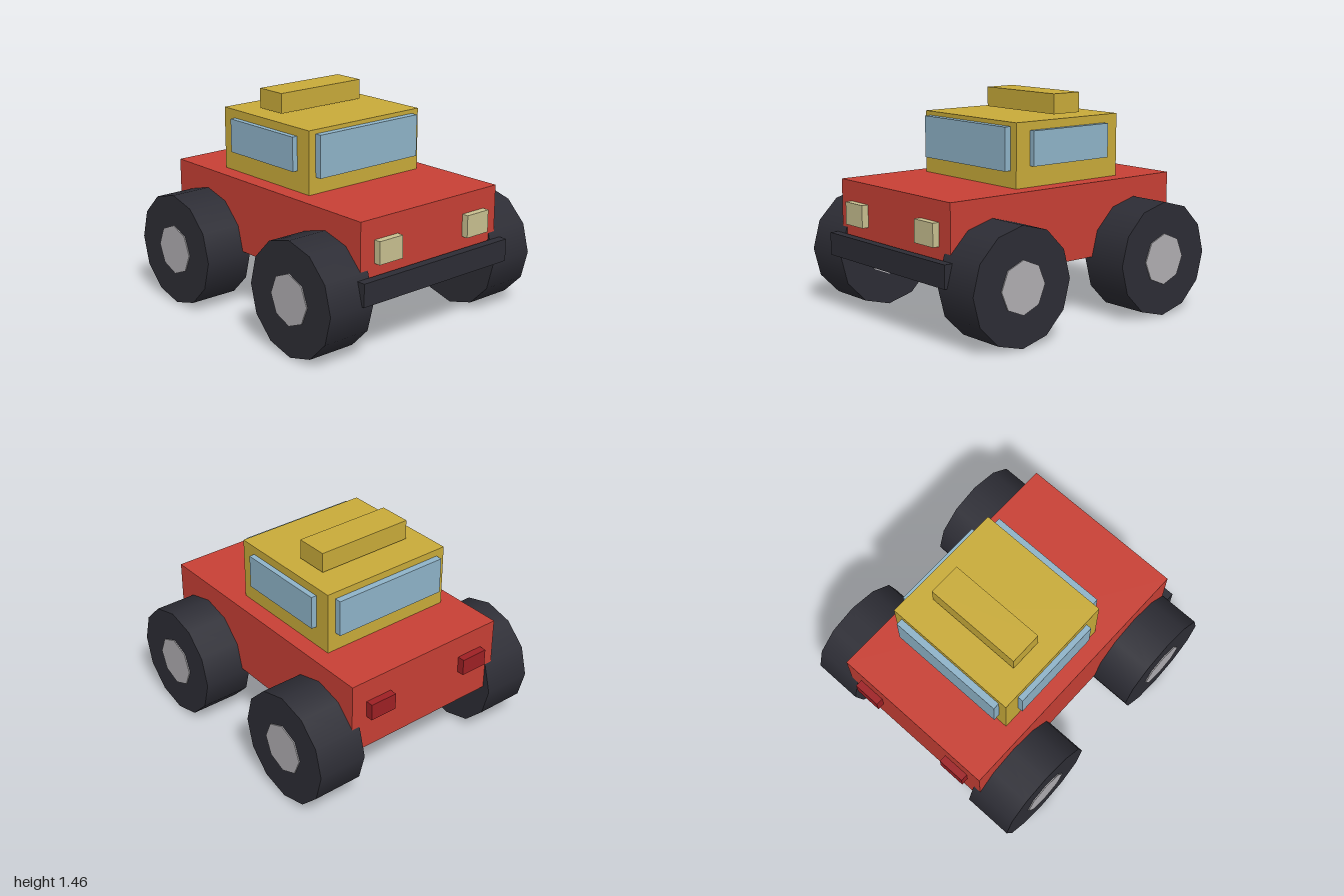
import * as THREE from 'three';

export function createModel() {
  const group = new THREE.Group();
  const mat = (name, color) => {
    const m = new THREE.MeshStandardMaterial({ color });
    m.name = name;
    return m;
  };
  const red = mat('body red', 0xc84035);
  const yellow = mat('cab yellow', 0xc9ab3a);
  const glass = mat('window blue', 0x8fb4c9);
  const cream = mat('headlight cream', 0xc9c090);
  const darkRed = mat('tail light red', 0x9e2024);
  const rubber = mat('rubber black', 0x2d2d35);
  const metal = mat('hub grey', 0xb0aeb2);

  // Box given by its extents on each axis
  const box = (name, material, [x0, x1], [y0, y1], [z0, z1]) => {
    const mesh = new THREE.Mesh(new THREE.BoxGeometry(x1 - x0, y1 - y0, z1 - z0), material);
    mesh.position.set((x0 + x1) / 2, (y0 + y1) / 2, (z0 + z1) / 2);
    mesh.name = name;
    group.add(mesh);
  };
  // The same box on the left (+x) and right (-x)
  const pair = (name, material, [x0, x1], y, z) => {
    box(name + 'Left', material, [x0, x1], y, z);
    box(name + 'Right', material, [-x1, -x0], y, z);
  };

  // Body, cab and roof bar
  box('body', red, [-0.59, 0.59], [0.4, 0.895], [-0.94, 0.925]);
  box('cab', yellow, [-0.475, 0.475], [0.895, 1.315], [-0.56, 0.315]);
  box('roofBar', yellow, [-0.342, 0.342], [1.326, 1.46], [-0.343, -0.118]);

  // Windows
  box('windshield', glass, [-0.42, 0.42], [1.005, 1.287], [0.31, 0.363]);
  box('rearWindow', glass, [-0.415, 0.415], [1.02, 1.268], [-0.605, -0.555]);
  pair('sideWindow', glass, [0.47, 0.512], [1.032, 1.259], [-0.447, 0.2]);

  // Lights and bumper
  pair('headlight', cream, [0.285, 0.477], [0.61, 0.76], [0.92, 0.972]);
  pair('tailLight', darkRed, [0.285, 0.477], [0.63, 0.743], [-0.99, -0.935]);
  box('bumper', rubber, [-0.627, 0.627], [0.384, 0.535], [0.94, 1.0]);

  // Wheels: twelve-sided tires with eight-sided hubs, one corner pointing up
  const tireGeo = new THREE.CylinderGeometry(0.381, 0.381, 0.342, 12).rotateZ(Math.PI / 2);
  const hubGeo = new THREE.CylinderGeometry(0.171, 0.171, 0.357, 8).rotateZ(Math.PI / 2);
  for (const [end, z] of [['front', 0.601], ['rear', -0.616]]) {
    for (const [side, sx] of [['Left', 1], ['Right', -1]]) {
      const wheel = new THREE.Group();
      wheel.name = end + 'Wheel' + side;
      const tire = new THREE.Mesh(tireGeo, rubber);
      tire.name = 'tire';
      const hub = new THREE.Mesh(hubGeo, metal);
      hub.name = 'hub';
      wheel.add(tire, hub);
      wheel.position.set(sx * 0.705, 0.381, z);
      group.add(wheel);
    }
  }
  return group;
}
